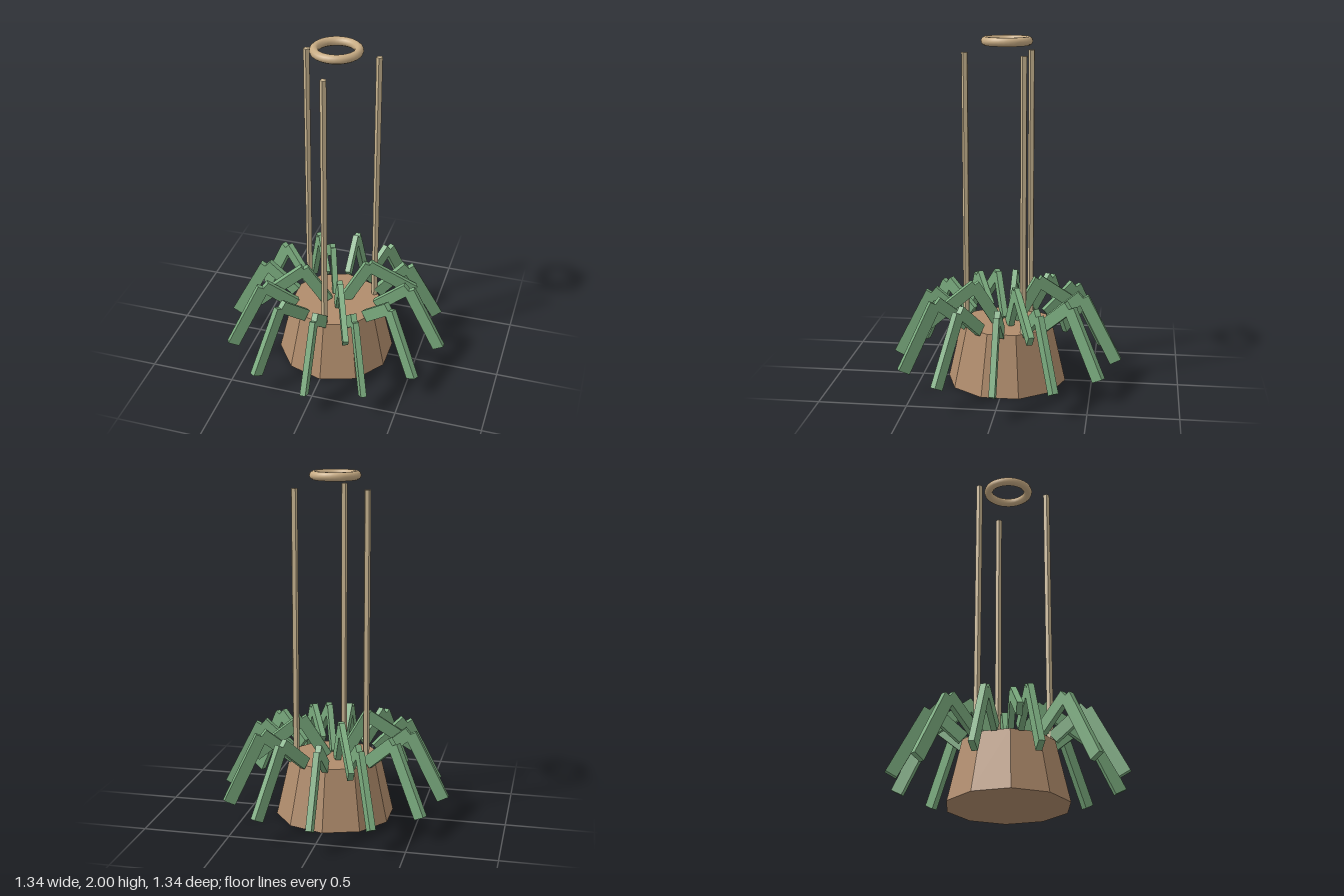
import * as THREE from 'three';

const material = (color, flatShading = true) =>
  new THREE.MeshStandardMaterial({ color, flatShading });

const clay = material(0xb08c6c);
const green = material(0x7aab7e);
const cord = material(0xc8b490);
const ringMat = material(0xc8ac84, false);

const LEAF_WIDTH = 0.033;
const LEAF_DEPTH = 0.07;

function add(parent, name, geometry, mat, x = 0, y = 0, z = 0) {
  const mesh = new THREE.Mesh(geometry, mat);
  mesh.name = name;
  mesh.position.set(x, y, z);
  parent.add(mesh);
  return mesh;
}

// Box whose upper edge runs from (r0, y0) to (r1, y1)
function leafSegment(parent, name, r0, y0, r1, y1) {
  const length = Math.hypot(r1 - r0, y1 - y0);
  const geometry = new THREE.BoxGeometry(length, LEAF_DEPTH, LEAF_WIDTH);
  geometry.translate(length / 2, -LEAF_DEPTH / 2, 0);
  geometry.rotateZ(Math.atan2(y1 - y0, r1 - r0));
  add(parent, name, geometry, green, r0, y0, 0);
}

// Rings of bent leaves: a rising segment and a drooping one
function leafRing(parent, name, count, startAngle, rise, droop) {
  for (let i = 0; i < count; i++) {
    const leaf = new THREE.Group();
    leaf.name = name;
    leaf.rotation.y = startAngle + (i * Math.PI * 2) / count;
    leafSegment(leaf, 'leafBase', ...rise);
    leafSegment(leaf, 'leafTip', ...droop);
    parent.add(leaf);
  }
}

export function createModel() {
  const model = new THREE.Group();
  model.name = 'hangingPlant';

  // Ten-sided pot, wider at the foot
  add(model, 'pot', new THREE.CylinderGeometry(0.265, 0.345, 0.35, 10), clay, 0, 0.175, 0);

  // Leaves
  leafRing(model, 'outerLeaf', 12, 0, [0.23, 0.39, 0.415, 0.545], [0.475, 0.525, 0.67, 0.145]);
  leafRing(model, 'innerLeaf', 4, 0.4, [0.025, 0.37, 0.17, 0.605], [0.21, 0.61, 0.49, 0.41]);

  // Three hanging cords
  const bottom = 0.33, top = 1.91;
  for (let i = 0; i < 3; i++) {
    const a = (i * Math.PI * 2) / 3;
    add(model, 'cord', new THREE.CylinderGeometry(0.019, 0.019, top - bottom, 5), cord,
      0.237 * Math.sin(a), (top + bottom) / 2, 0.237 * Math.cos(a));
  }

  // Hanging ring
  const ring = new THREE.TorusGeometry(0.12, 0.025, 10, 32);
  ring.rotateX(Math.PI / 2);
  add(model, 'hangingRing', ring, ringMat, 0, 1.975, 0);

  return model;
}
